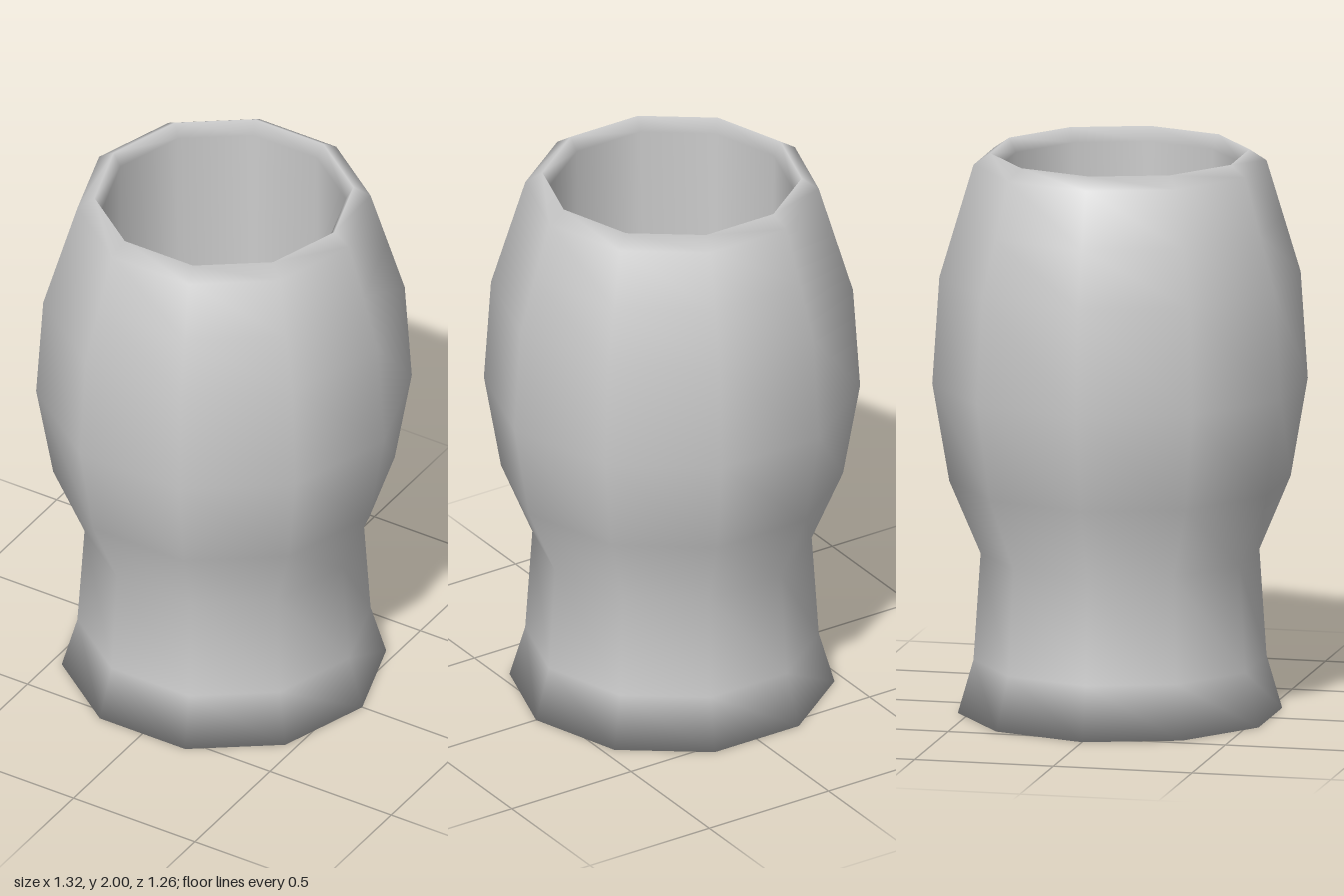
import * as THREE from 'three';

const SIDES = 10;
const FLOOR_Y = 0.16;
const FLOOR_R = 0.423;

// Ten-sided turned surface with a corner on the +x axis
function turn(name, profile, material) {
  const points = profile.map(([r, y]) => new THREE.Vector2(r, y));
  const mesh = new THREE.Mesh(new THREE.LatheGeometry(points, SIDES, Math.PI / 2), material);
  mesh.name = name;
  return mesh;
}

export function createModel() {
  const group = new THREE.Group();
  group.name = 'cup';
  const material = new THREE.MeshStandardMaterial({ color: 0xcccccc, side: THREE.DoubleSide });

  // Underside, flared foot, waist, bulging body, chamfered rim and inner wall
  const body = turn('body', [
    [0, 0], [0.57, 0], [0.515, 0.19], [0.49, 0.57], [0.60, 0.83],
    [0.66, 1.18], [0.635, 1.56], [0.575, 1.76], [0.515, 1.96], [0.455, 2],
    [0.428, 1.95], [FLOOR_R, FLOOR_Y],
  ], material);

  // Underside stays evenly shaded; the foot blends softly into it
  const { position, normal } = body.geometry.attributes;
  for (let i = 0; i < position.count; i++) {
    if (position.getY(i) < 0.001) normal.setXYZ(i, 0, -1, 0);
  }
  group.add(body);

  // Flat floor inside the cup
  group.add(turn('innerFloor', [[FLOOR_R, FLOOR_Y], [0, FLOOR_Y]], material));

  return group;
}
